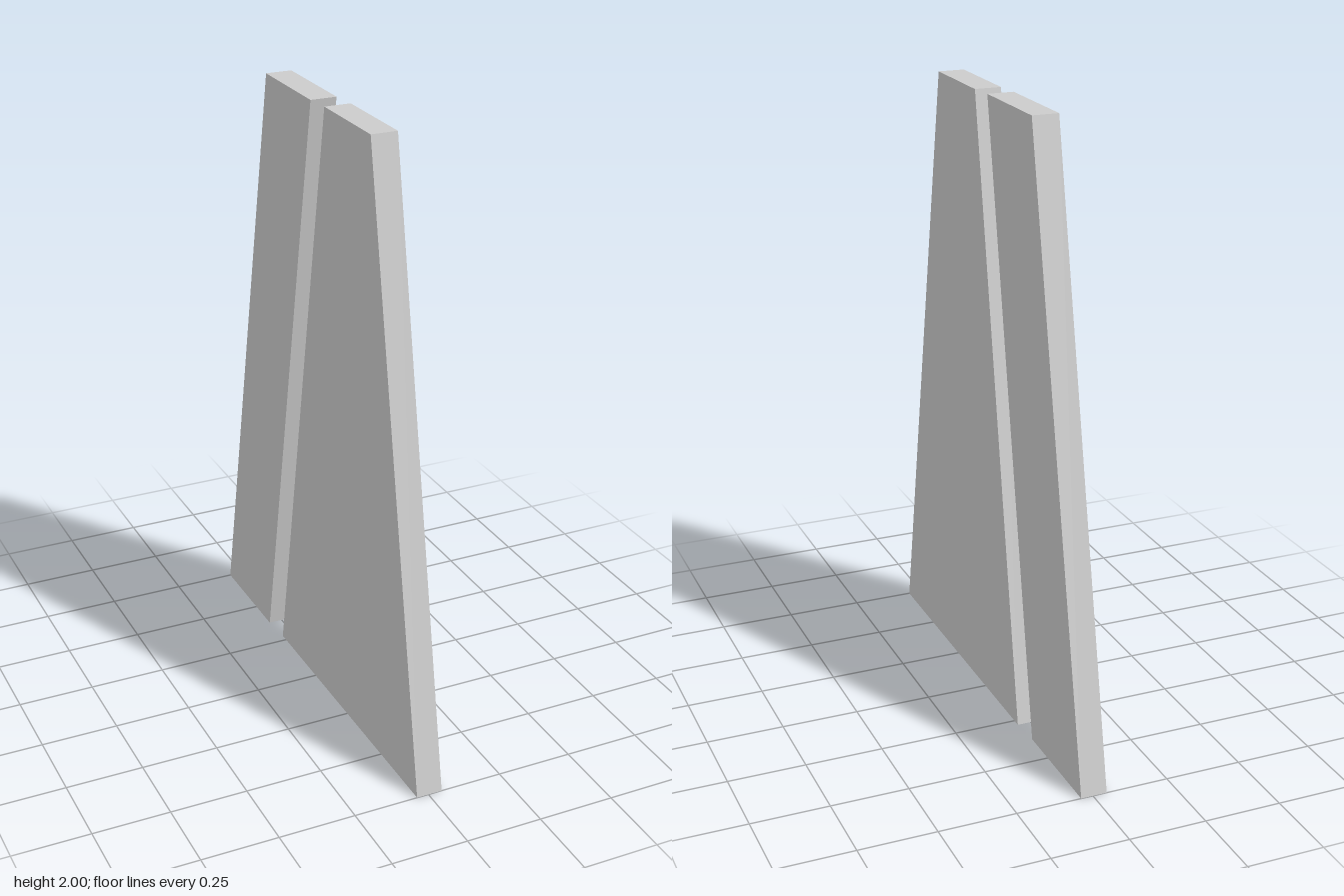
import * as THREE from 'three';

const THICKNESS = 0.085;

// Upright slab: its outline lies in the z-y plane, given by the z of its bottom and top corners.
function makeSlab(name, bottomFront, bottomBack, topFront, topBack, offsetX) {
  const outline = new THREE.Shape([
    new THREE.Vector2(-bottomFront, 0),
    new THREE.Vector2(-bottomBack, 0),
    new THREE.Vector2(-topBack, 2),
    new THREE.Vector2(-topFront, 2),
  ]);
  const geometry = new THREE.ExtrudeGeometry(outline, { depth: THICKNESS, bevelEnabled: false });
  geometry.translate(0, 0, -THICKNESS / 2);
  geometry.rotateY(Math.PI / 2); // outline x becomes -z, thickness runs along x
  const material = new THREE.MeshStandardMaterial({ color: 0xcccccc, flatShading: true });
  const mesh = new THREE.Mesh(geometry, material);
  mesh.name = name;
  mesh.position.x = offsetX;
  return mesh;
}

export function createModel() {
  const model = new THREE.Group();
  model.name = 'splitTaperedPanel';

  // Wide tapered front slab and leaning back slab, slightly staggered sideways
  model.add(makeSlab('frontSlab', 0.75, -0.278, 0.38, 0.072, 0.0035));
  model.add(makeSlab('backSlab', -0.378, -0.75, -0.01, -0.343, -0.0035));
  return model;
}
